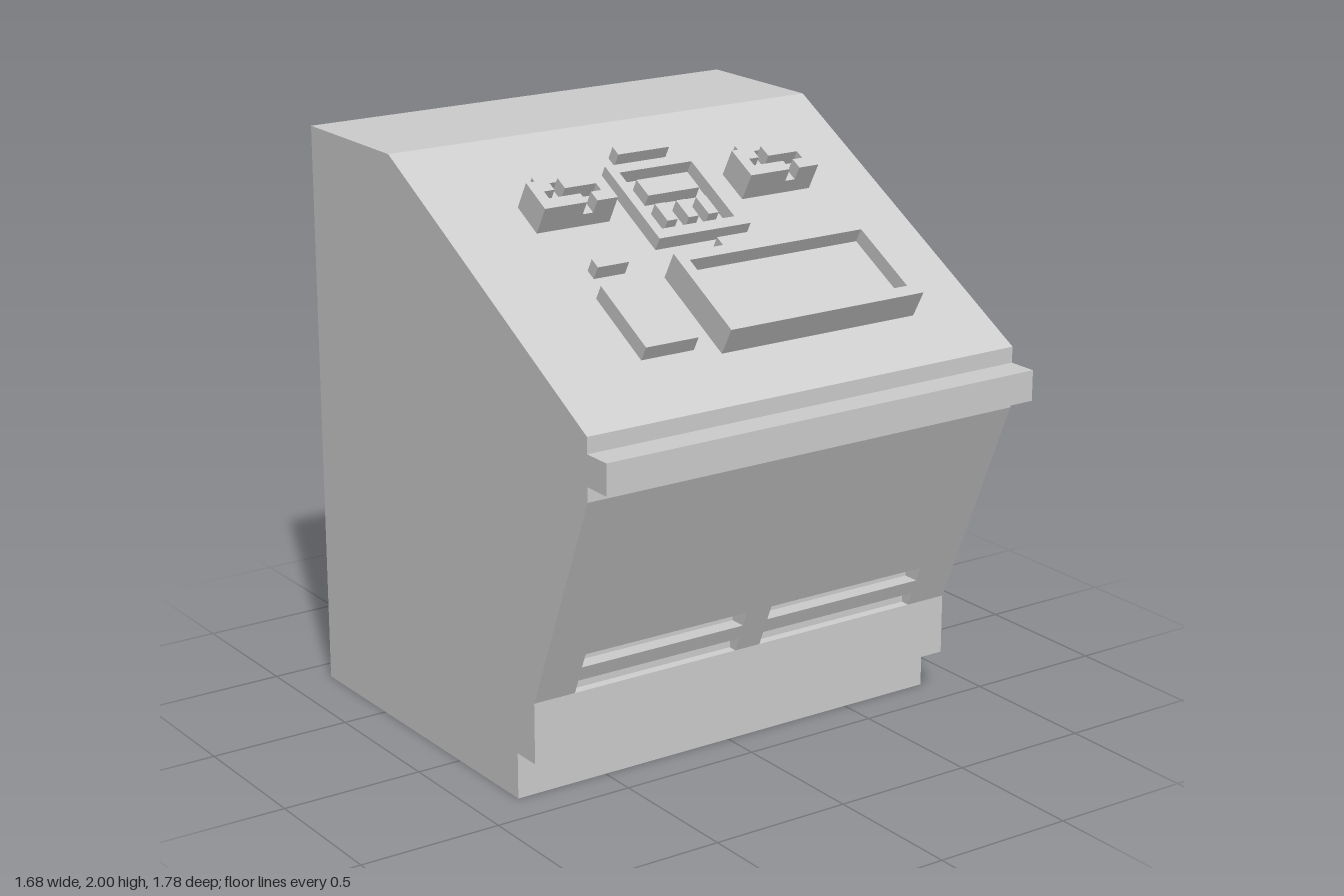
import * as THREE from 'three';

export function createModel() {
  const model = new THREE.Group();
  model.name = 'console';
  const grey = new THREE.MeshStandardMaterial({ color: 0xcccccc, flatShading: true });
  grey.name = 'casing grey';
  const toShape = (pts) => new THREE.Shape(pts.map(([a, b]) => new THREE.Vector2(a, b)));
  const addMesh = (parent, geometry, name) => {
    const mesh = new THREE.Mesh(geometry, grey);
    mesh.name = name;
    parent.add(mesh);
    return mesh;
  };

  // Cabinet side profile as [z, y]; slatted slices have two vent notches
  const foot = [[-0.89, 0], [0.365, 0], [0.365, 0.16], [0.47, 0.16], [0.47, 0.37]];
  const vents = [
    [0.44, 0.372], [0.44, 0.41], [0.491, 0.42],
    [0.513, 0.473], [0.455, 0.473], [0.455, 0.515], [0.534, 0.525],
  ];
  const upper = [
    [0.79, 1.14], [0.79, 1.19], [0.895, 1.19], [0.895, 1.295],
    [0.79, 1.295], [0.79, 1.35], [-0.37, 2], [-0.89, 2],
  ];
  const edges = [-0.84, -0.685, -0.05, 0.05, 0.685, 0.84];
  for (let i = 0; i < 5; i++) {
    const vented = i % 2 === 1;
    const profile = toShape([...foot, ...(vented ? vents : []), ...upper]);
    const geo = new THREE.ExtrudeGeometry(profile, { depth: edges[i + 1] - edges[i], bevelEnabled: false });
    geo.rotateY(-Math.PI / 2);
    geo.translate(edges[i + 1], 0, 0);
    addMesh(model, geo, vented ? 'ventedCabinet' : 'cabinet');
  }

  // Sloping control deck: local x across, d up the slope, h out of the deck
  const deck = new THREE.Group();
  deck.name = 'controlDeck';
  deck.position.set(0, 1.35, 0.79);
  deck.rotation.x = Math.atan2(0.65, 1.16);
  model.add(deck);

  const raise = (name, shape, h, base = 0) => {
    const geo = new THREE.ExtrudeGeometry(shape, { depth: h, bevelEnabled: false });
    geo.rotateX(-Math.PI / 2);
    geo.translate(0, base, 0);
    return addMesh(deck, geo, name);
  };
  const rect = (x0, x1, d0, d1) => [[x0, d0], [x1, d0], [x1, d1], [x0, d1]];
  const block = (name, x0, x1, d0, d1, h) => raise(name, toShape(rect(x0, x1, d0, d1)), h);
  const frame = (name, outer, inner, h) => {
    const shape = toShape(rect(...outer));
    shape.holes.push(toShape(rect(...inner)));
    raise(name, shape, h);
  };

  // Large screen: rim around a raised floor
  frame('screenRim', [-0.205, 0.57, 0.218, 0.582], [-0.165, 0.53, 0.26, 0.543], 0.103);
  block('screen', -0.165, 0.53, 0.26, 0.543, 0.05);

  // Keypad and label bars
  block('keypad', -0.49, -0.29, 0.256, 0.545, 0.055);
  block('keypadLabel', -0.45, -0.33, 0.63, 0.67, 0.05);
  block('screenLabel', 0.04, 0.325, 0.63, 0.67, 0.05);
  block('displayLabel', -0.085, 0.12, 1.117, 1.157, 0.05);

  // Central display with a panel and three keys inside the frame
  frame('displayRim', [-0.165, 0.2, 0.708, 1.072], [-0.13, 0.16, 0.75, 1.033], 0.05);
  block('displayPanel', -0.085, 0.12, 0.912, 0.992, 0.045);
  for (const x of [-0.085, 0, 0.08]) block('displayKey', x, x + 0.04, 0.785, 0.87, 0.045);

  // Twin switch units: a base with two top halves divided by a zigzag channel
  const halves = [
    [[-0.53, 0.869], [-0.37, 0.869], [-0.37, 0.913], [-0.49, 0.913],
      [-0.49, 0.947], [-0.45, 0.947], [-0.45, 0.998], [-0.53, 0.998]],
    [[-0.33, 0.869], [-0.25, 0.869], [-0.25, 0.998], [-0.41, 0.998],
      [-0.41, 0.947], [-0.29, 0.947], [-0.29, 0.913], [-0.33, 0.913]],
  ];
  for (const shift of [0, 0.815]) {
    block('switchBase', -0.53 + shift, -0.25 + shift, 0.869, 0.998, 0.053);
    for (const half of halves) {
      raise('switchTop', toShape(half), 0.052, 0.053).position.x = shift;
    }
    block('switchLabel', -0.45 + shift, -0.33 + shift, 1.035, 1.073, 0.05);
  }
  return model;
}
